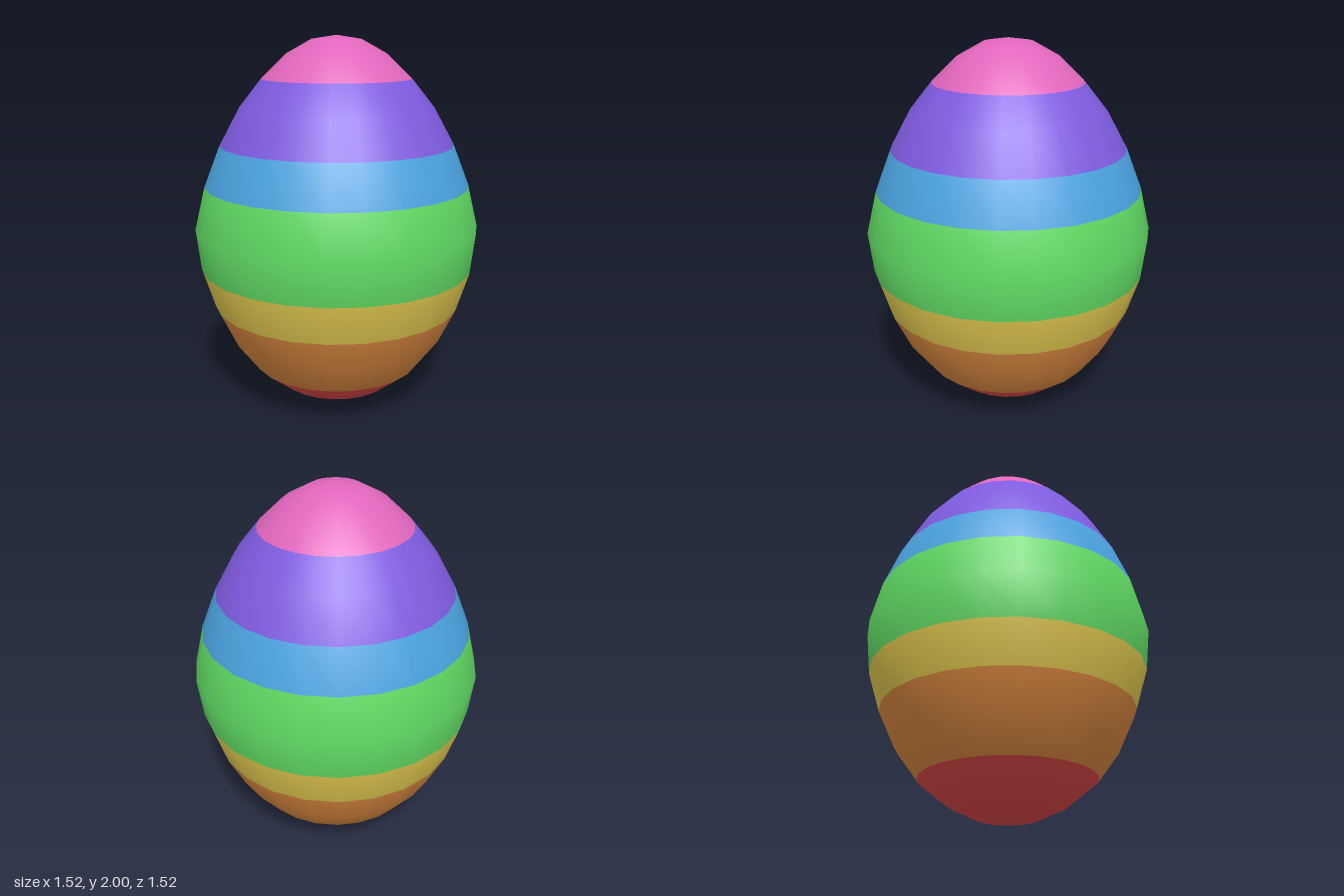
import * as THREE from 'three';

// Egg outline (radius, height), bottom to top
const PROFILE = [
  [0, 0], [0.16, 0.03], [0.31, 0.10], [0.46, 0.22], [0.58, 0.38],
  [0.67, 0.57], [0.735, 0.78], [0.76, 1.0], [0.705, 1.225], [0.62, 1.44],
  [0.515, 1.63], [0.395, 1.78], [0.265, 1.905], [0.13, 1.98], [0, 2],
];
const SIDES = 24;

// Painted bands: name, colour, first and last outline point
const BANDS = [
  ['red', 0xd94545, 0, 3],
  ['orange', 0xd9873f, 3, 5],
  ['yellow', 0xdec64e, 5, 6],
  ['green', 0x60da63, 6, 8],
  ['blue', 0x4ba3e0, 8, 9],
  ['purple', 0x7f5be0, 9, 11],
  ['pink', 0xe066bc, 11, 14],
];

// Whole shell, so normals stay smooth across the band borders
function makeShell() {
  const shell = new THREE.LatheGeometry(PROFILE.map(([r, y]) => new THREE.Vector2(r, y)), SIDES);
  const rows = PROFILE.length;
  for (let i = 0; i <= SIDES; i++) {
    shell.attributes.normal.setXYZ(i * rows, 0, -1, 0);
    shell.attributes.normal.setXYZ(i * rows + rows - 1, 0, 1, 0);
  }
  return shell;
}

// Keep only the faces between two outline points
function cutBand(shell, from, to) {
  const rows = PROFILE.length;
  const all = Array.from(shell.index.array);
  const band = shell.clone();
  band.setIndex(all.filter((_, k) => {
    const row = Math.floor(k / 6) % (rows - 1);
    return row >= from && row < to;
  }));
  return band;
}

export function createModel() {
  const egg = new THREE.Group();
  egg.name = 'egg';
  const shell = makeShell();
  for (const [name, color, from, to] of BANDS) {
    const material = new THREE.MeshStandardMaterial({ color });
    material.name = name;
    const mesh = new THREE.Mesh(cutBand(shell, from, to), material);
    mesh.name = `${name}Band`;
    egg.add(mesh);
  }
  return egg;
}
